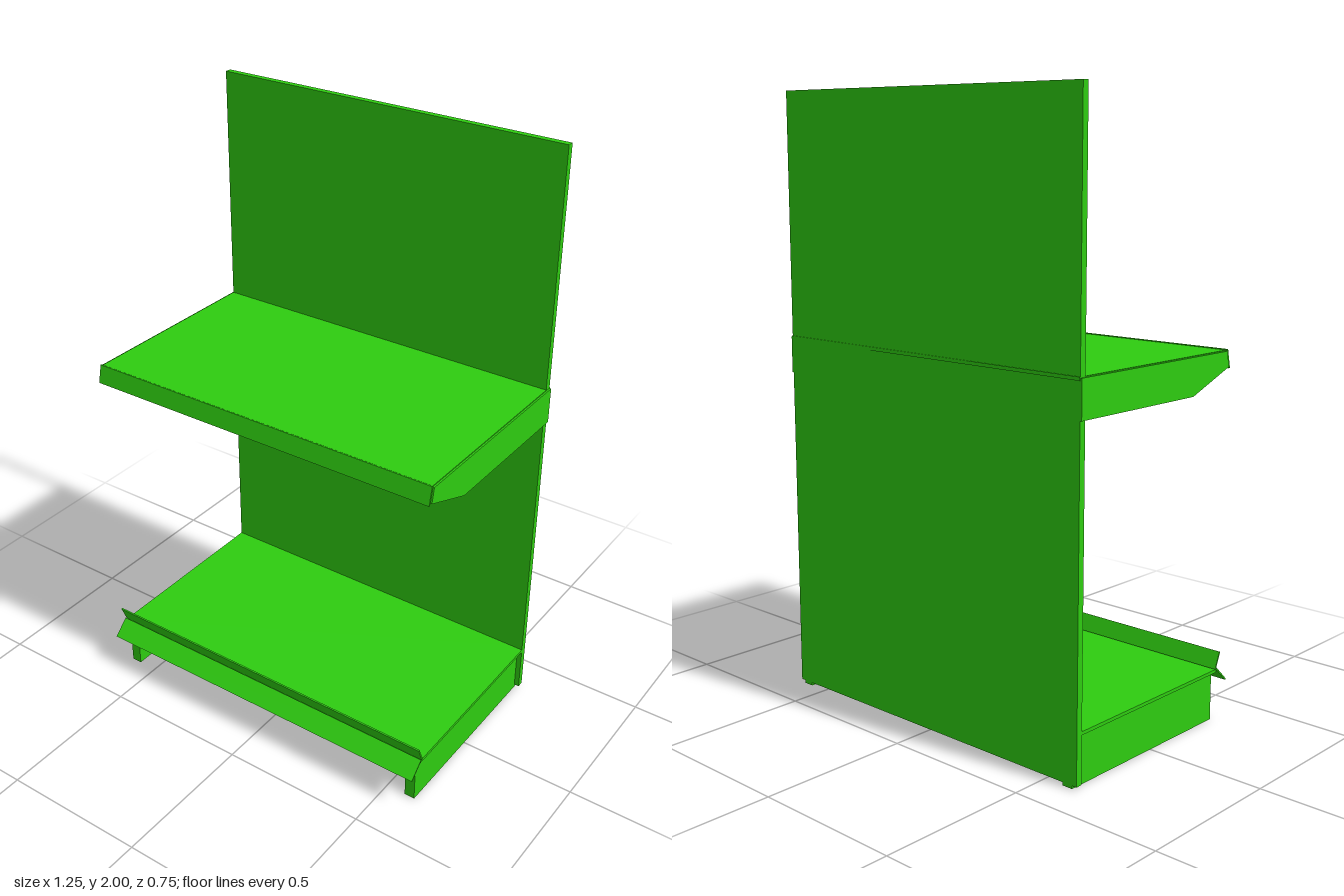
import * as THREE from 'three';

export function createModel() {
  const root = new THREE.Group();
  root.name = 'shelfUnit';
  const green = new THREE.MeshStandardMaterial({ color: 0x2ecc10 });

  const add = (name, geometry, parent = root) => {
    const mesh = new THREE.Mesh(geometry, green);
    mesh.name = name;
    parent.add(mesh);
    return mesh;
  };

  // Box given by its limits on each axis
  const block = (name, [x0, x1], [y0, y1], [z0, z1], parent) => {
    const mesh = add(name, new THREE.BoxGeometry(x1 - x0, y1 - y0, z1 - z0), parent);
    mesh.position.set((x0 + x1) / 2, (y0 + y1) / 2, (z0 + z1) / 2);
    return mesh;
  };

  // Side profile of [z, y] points, extruded from x0 to x1
  const profile = (name, points, x0, x1, parent) => {
    const shape = new THREE.Shape(points.map(([z, y]) => new THREE.Vector2(-z, y)));
    const geometry = new THREE.ExtrudeGeometry(shape, { depth: x1 - x0, bevelEnabled: false });
    geometry.rotateY(Math.PI / 2).translate(x0, 0, 0);
    return add(name, geometry, parent);
  };

  // Thin strip across the width, between two [z, y] points
  const strip = (name, [z0, y0], [z1, y1], halfWidth, parent) => {
    const t = 0.005;
    const length = Math.hypot(z1 - z0, y1 - y0);
    const mesh = add(name, new THREE.BoxGeometry(halfWidth * 2, length, t), parent);
    mesh.position.set(0, (y0 + y1) / 2, (z0 + z1) / 2);
    mesh.rotation.x = Math.atan2(z1 - z0, y1 - y0);
    return mesh;
  };

  // Back wall in two panels
  block('lowerBackPanel', [-0.62, 0.62], [0.01, 0.79], [-0.372, -0.35]);
  block('upperBackPanel', [-0.62, 0.62], [0.79, 2], [-0.372, -0.35]);

  // Upper shelf with tapered side brackets and a tilted front lip
  const upper = new THREE.Group();
  upper.name = 'upperShelf';
  root.add(upper);
  block('upperShelfBoard', [-0.62, 0.62], [1.197, 1.208], [-0.375, 0.325], upper);
  strip('upperShelfLip', [0.33, 1.21], [0.343, 1.15], 0.623, upper);
  const bracket = [[-0.372, 1.205], [-0.372, 1.085], [0.15, 1.085], [0.335, 1.155], [0.325, 1.205]];
  for (const [side, x] of [['left', 0.62], ['right', -0.62]]) {
    profile(side + 'UpperBracket', bracket, x - 0.006, x + 0.006, upper);
  }

  // Base shelf on two side supports
  const base = new THREE.Group();
  base.name = 'baseShelf';
  root.add(base);
  block('baseShelfBoard', [-0.62, 0.62], [0.163, 0.174], [-0.372, 0.32], base);
  for (const [side, x] of [['left', 0.585], ['right', -0.585]]) {
    block(side + 'BaseSupport', [x - 0.018, x + 0.018], [0, 0.164], [-0.372, 0.318], base);
  }

  // Front rail of the base: sloping lip below, flap above
  strip('baseFrontLip', [0.318, 0.178], [0.371, 0.127], 0.623, base);
  strip('baseFrontFlap', [0.312, 0.176], [0.334, 0.23], 0.623, base);

  return root;
}
